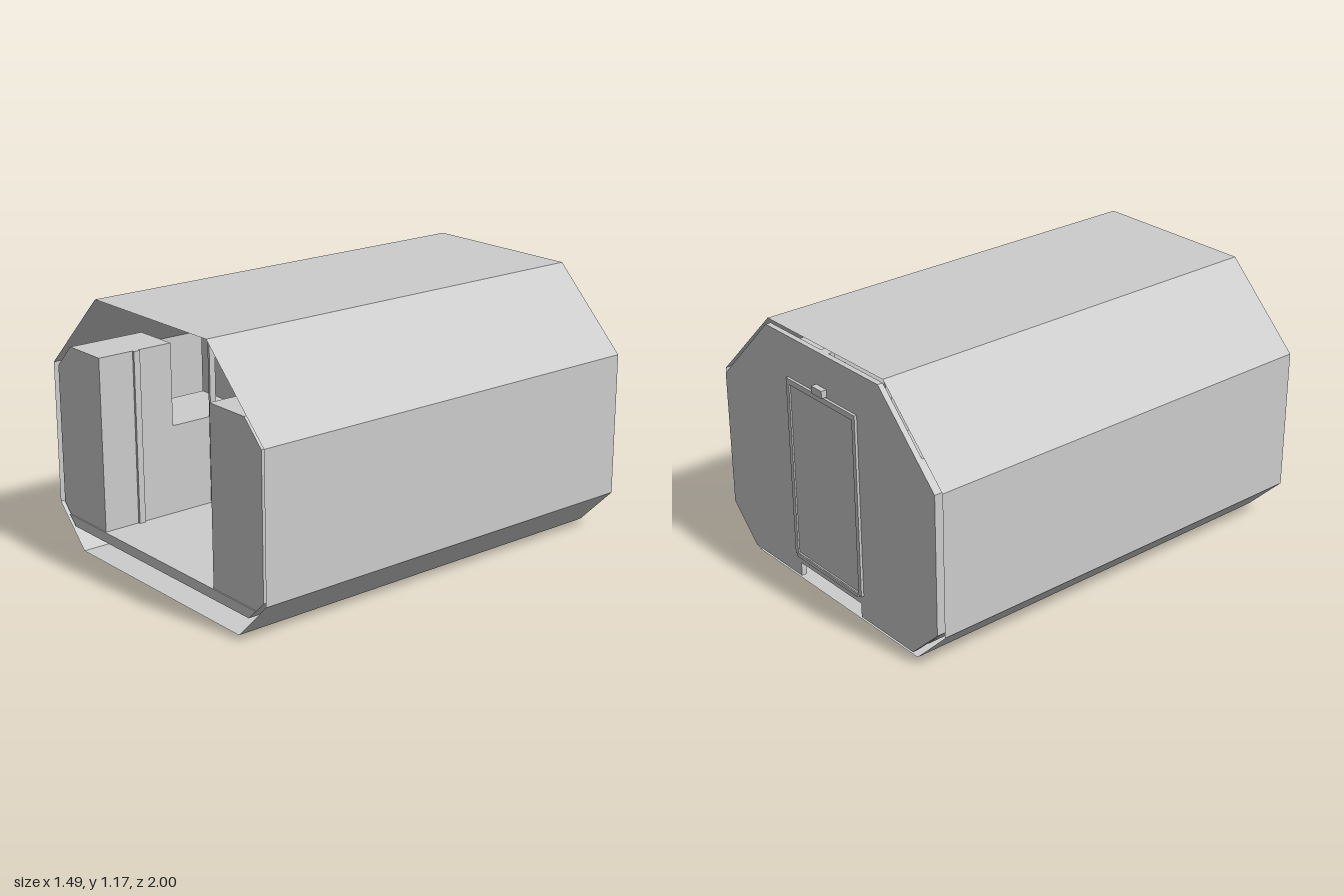
import * as THREE from 'three';

export function createModel() {
  const model = new THREE.Group();
  const grey = new THREE.MeshStandardMaterial({ color: 0xcccccc, side: THREE.DoubleSide });
  grey.name = 'light grey';

  const add = (name, geometry, x = 0, y = 0, z = 0) => {
    const mesh = new THREE.Mesh(geometry, grey);
    mesh.name = name;
    mesh.position.set(x, y, z);
    model.add(mesh);
    return mesh;
  };
  // Box given by its limits on each axis
  const box = (name, x0, x1, y0, y1, z0, z1) =>
    add(name, new THREE.BoxGeometry(x1 - x0, y1 - y0, z1 - z0), (x0 + x1) / 2, (y0 + y1) / 2, (z0 + z1) / 2);
  const outline = (points) => new THREE.Shape(points.map(([x, y]) => new THREE.Vector2(x, y)));
  // Flat profile extruded between two depths
  const slab = (name, shape, z0, z1) =>
    add(name, new THREE.ExtrudeGeometry(shape, { depth: z1 - z0, bevelEnabled: false }), 0, 0, z0);
  const rect = (w, y0, y1) => [[-w, y0], [w, y0], [w, y1], [-w, y1]];

  // Thin open-ended octagonal shell
  const ring = [[-0.565, 0], [0.565, 0], [0.745, 0.18], [0.745, 0.825],
    [0.39, 1.175], [-0.39, 1.175], [-0.745, 0.825], [-0.745, 0.18]];
  const zFront = 1, zBack = -0.957;
  const pos = [];
  ring.forEach(([ax, ay], i) => {
    const [bx, by] = ring[(i + 1) % ring.length];
    pos.push(ax, ay, zFront, ax, ay, zBack, bx, by, zBack);
    pos.push(ax, ay, zFront, bx, by, zBack, bx, by, zFront);
  });
  const shell = new THREE.BufferGeometry();
  shell.setAttribute('position', new THREE.Float32BufferAttribute(pos, 3));
  shell.computeVertexNormals();
  add('outerShell', shell);

  // Rear bulkhead with a step notch below and a doorway
  const bulkhead = outline([[-0.56, 0.03], [-0.215, 0.03], [-0.215, 0.095], [0.215, 0.095], [0.215, 0.03],
    [0.56, 0.03], [0.72, 0.185], [0.72, 0.815], [0.38, 1.155], [-0.38, 1.155], [-0.72, 0.815], [-0.72, 0.185]]);
  bulkhead.holes.push(outline(rect(0.22, 0.145, 0.955)));
  slab('rearBulkhead', bulkhead, -0.95, -0.975);

  // Door frame, door and sill
  const frame = outline(rect(0.235, 0.14, 0.97));
  frame.holes.push(outline(rect(0.215, 0.15, 0.945)));
  slab('doorFrame', frame, -0.987, -0.94);
  box('door', -0.217, 0.217, 0.148, 0.947, -0.98, -0.947);
  box('doorSill', -0.215, 0.215, 0.132, 0.148, -0.992, -0.975);

  // Floor deck
  slab('floorDeck', outline([[-0.63, 0.095], [0.63, 0.095], [0.675, 0.14], [-0.675, 0.14]]), -0.95, 0.998);

  // Cabinet rows: full-height bays, one low bay, a rail at the middle of each bay
  const full = [[0.392, 0.14], [0.675, 0.14], [0.72, 0.185], [0.72, 0.815], [0.615, 0.92], [0.392, 0.92]];
  const low = [[0.392, 0.14], [0.675, 0.14], [0.72, 0.185], [0.72, 0.545], [0.392, 0.545]];
  for (const side of [-1, 1]) {
    const mirrored = (points) => outline(points.map(([x, y]) => [x * side, y]));
    slab('frontCabinet', mirrored(full), 0.63, 0.993);
    slab('lowCabinet', mirrored(low), 0.235, 0.63);
    slab('rearCabinets', mirrored(full), -0.95, 0.235);
    for (let i = 0; i < 5; i++) {
      const z = 0.81 - i * 0.39;
      const x = side * 0.387;
      box('cabinetRail', x - 0.006, x + 0.006, 0.14, 0.92, z - 0.015, z + 0.015);
    }
  }

  // Wall panel beside the door
  box('wallPanel', 0.265, 0.38, 0.61, 0.845, -0.95, -0.92);

  // Lamps above the door, outside and inside
  box('outerDoorLamp', -0.035, 0.035, 0.975, 1.008, -1, -0.975);
  box('innerDoorLamp', -0.035, 0.035, 0.975, 1.008, -0.95, -0.93);

  // Overhead unit with its side brackets and mount
  box('overheadUnit', -0.048, 0.048, 1.043, 1.11, -0.95, -0.9);
  for (const side of [-1, 1]) {
    const x = side * 0.054;
    box('overheadBracket', x - 0.005, x + 0.005, 1.028, 1.11, -0.95, -0.89);
  }
  box('overheadMount', -0.027, 0.027, 1.126, 1.155, -0.95, -0.92);

  return model;
}
